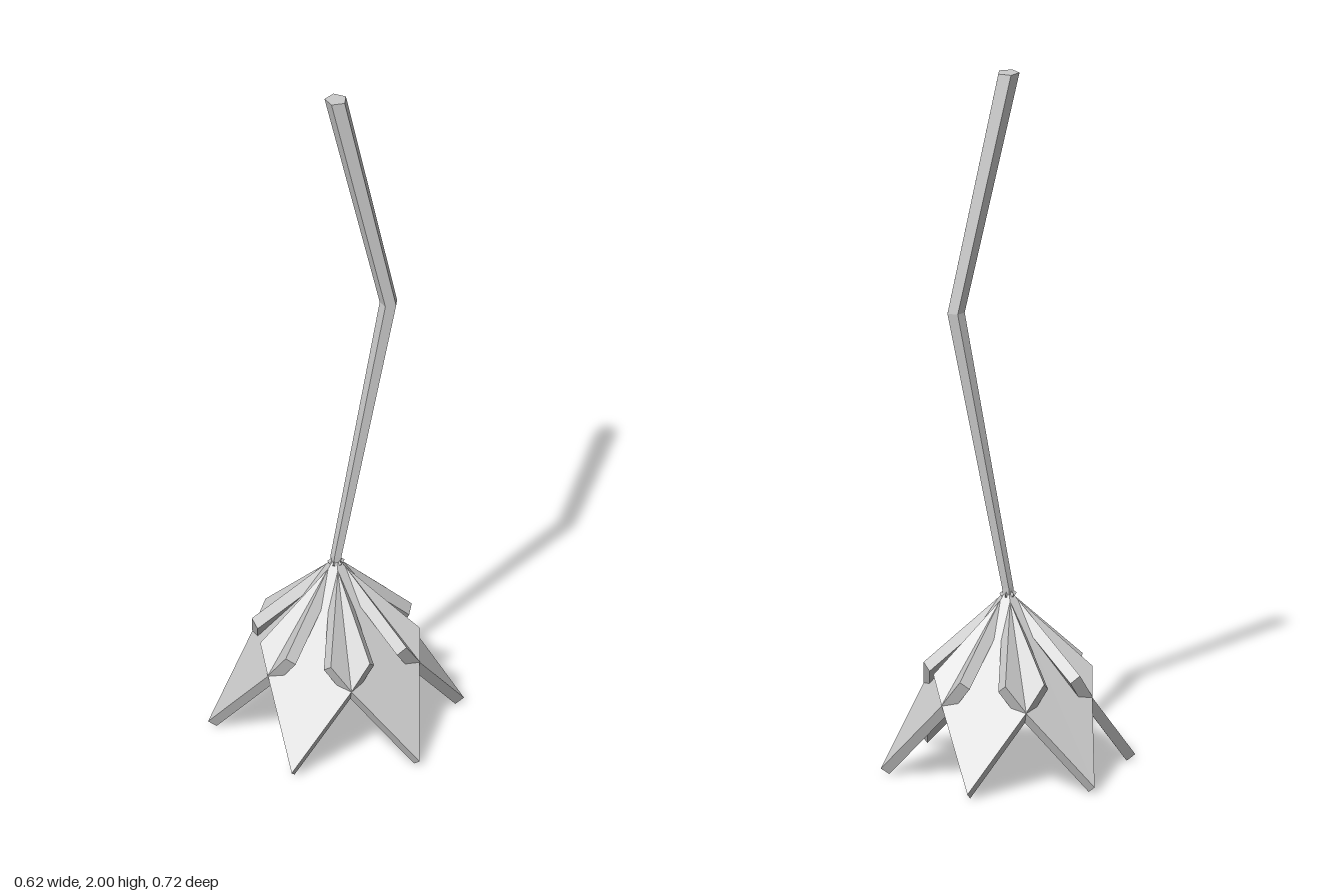
import * as THREE from 'three';

// Flat-faced geometry from a list of triangles
function facets(tris) {
  const g = new THREE.BufferGeometry();
  const coords = tris.flat().flatMap(p => [p.x, p.y, p.z]);
  g.setAttribute('position', new THREE.Float32BufferAttribute(coords, 3));
  g.computeVertexNormals();
  return g;
}

// Slab: a flat convex outline in space, thickened along an offset vector
function slab(outline, offset) {
  let top = outline.map(p => new THREE.Vector3(...p));
  const t = new THREE.Vector3(...offset);
  const n = top[1].clone().sub(top[0]).cross(top[2].clone().sub(top[0]));
  if (n.dot(t) > 0) top.reverse();
  const low = top.map(p => p.clone().add(t));
  const tris = [];
  for (let i = 0; i < top.length; i++) {
    const j = (i + 1) % top.length;
    tris.push([top[i], low[i], low[j]], [top[i], low[j], top[j]]);
    if (i > 0 && j > 0) tris.push([top[0], top[i], top[j]], [low[0], low[j], low[i]]);
  }
  return facets(tris);
}

// Bent five-sided stem from horizontal rings [x, y, z, radius]
function stemGeometry(rings) {
  const pts = rings.map(([x, y, z, r]) => Array.from({ length: 5 }, (_, k) => {
    const a = (9 + 72 * k) * Math.PI / 180;
    return new THREE.Vector3(x + r * Math.cos(a), y, z + r * Math.sin(a));
  }));
  const tris = [];
  for (let k = 0; k < 5; k++) {
    const m = (k + 1) % 5;
    for (let i = 0; i + 1 < pts.length; i++) {
      const a = pts[i], b = pts[i + 1];
      tris.push([a[k], b[k], b[m]], [a[k], b[m], a[m]]);
    }
    if (k > 0 && m > 0) {
      const a = pts[0], b = pts[pts.length - 1];
      tris.push([a[0], a[k], a[m]], [b[0], b[m], b[k]]);
    }
  }
  return facets(tris);
}

export function createModel() {
  const grey = new THREE.MeshStandardMaterial({ color: 0xcccccc, flatShading: true });
  grey.name = 'pale grey';
  const model = new THREE.Group();
  model.name = 'droopingFlower';

  function add(name, geometry, angle = 0) {
    const mesh = new THREE.Mesh(geometry, grey);
    mesh.name = name;
    mesh.rotation.y = angle;
    model.add(mesh);
  }

  // Stem with one bend
  add('stem', stemGeometry([
    [0, 0.49, 0, 0.016], [0.002, 0.52, 0.001, 0.017],
    [0.134, 1.32, 0.069, 0.026], [0, 2, 0, 0.032],
  ]));

  // Diamond petals forming a six-sided bell
  const petal = slab([
    [0, 0.52, 0], [0.213, 0.2227, 0.123], [0.36, 0.0175, 0], [0.213, 0.2227, -0.123],
  ], [-0.0244, -0.0175, 0]);

  // Folded sepals along the seams: two raised flaps meeting in a valley
  const flaps = [1, -1].map(s => slab([
    [0.03, 0.485, 0], [0.228, 0.298, 0.055 * s], [0.247, 0.224, 0],
  ], [-0.0225, -0.0205, 0.0155 * s]));

  for (let k = 0; k < 6; k++) {
    const seam = k * Math.PI / 3;
    add('petal', petal, seam + Math.PI / 6);
    for (const flap of flaps) add('sepalFlap', flap, seam);
  }
  return model;
}
